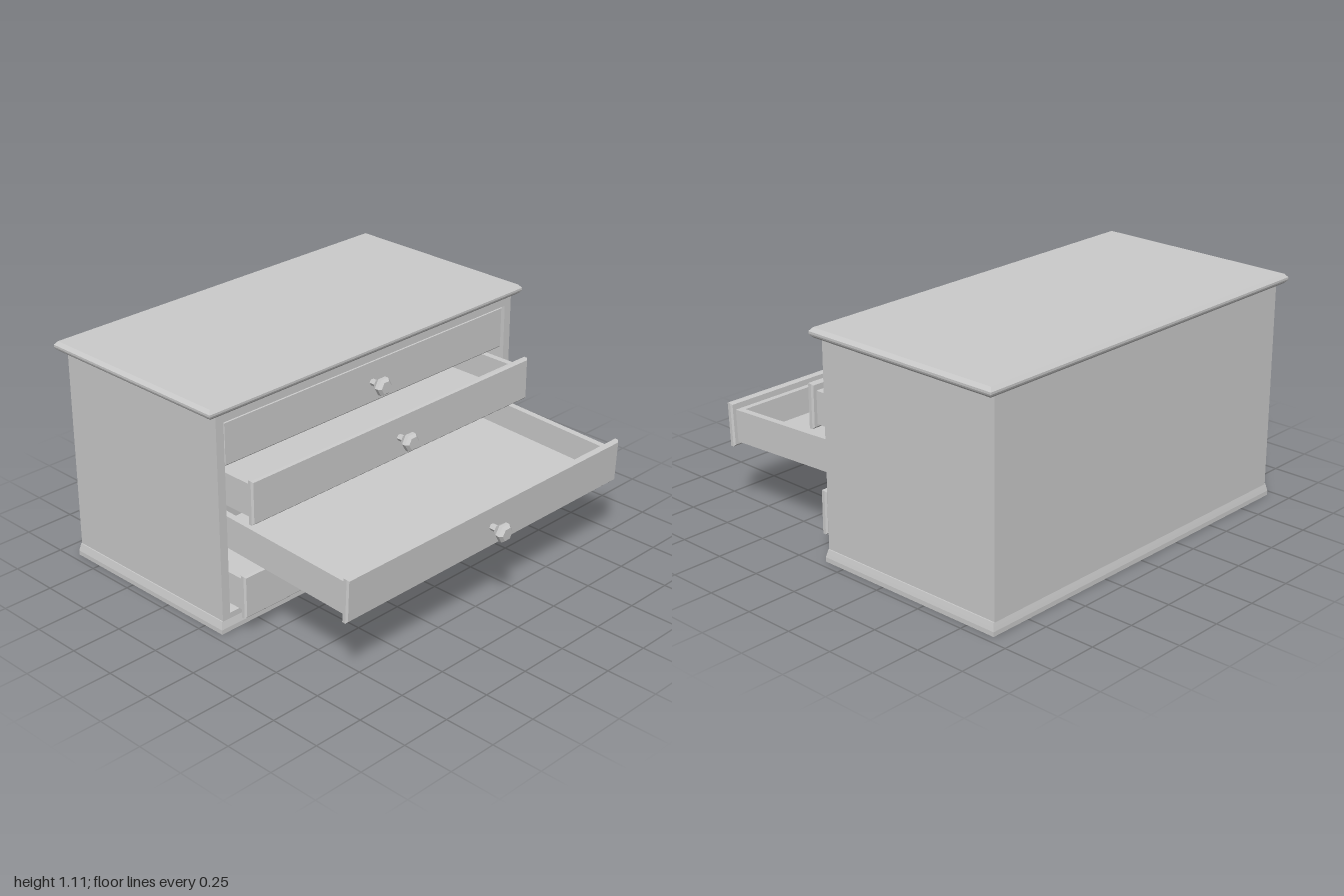
import * as THREE from 'three';

const material = new THREE.MeshStandardMaterial({ color: 0xcccccc, flatShading: true });

function mesh(name, geometry) {
  const m = new THREE.Mesh(geometry, material);
  m.name = name;
  return m;
}

// Box given by its limits on each axis
function block(name, x0, x1, y0, y1, z0, z1) {
  const g = new THREE.BoxGeometry(x1 - x0, y1 - y0, z1 - z0);
  g.translate((x0 + x1) / 2, (y0 + y1) / 2, (z0 + z1) / 2);
  return mesh(name, g);
}

// Closed rectangular stack: each section is [height, inset from full size]
function moulding(width, depth, sections) {
  const pos = [];
  const index = [];
  for (const [y, inset] of sections) {
    const a = width / 2 - inset;
    const b = depth / 2 - inset;
    pos.push(-a, y, b, a, y, b, a, y, -b, -a, y, -b);
  }
  for (let s = 0; s < sections.length - 1; s++) {
    for (let i = 0; i < 4; i++) {
      const p = s * 4 + i;
      const q = s * 4 + (i + 1) % 4;
      index.push(p, q, q + 4, p, q + 4, p + 4);
    }
  }
  const t = (sections.length - 1) * 4;
  index.push(0, 2, 1, 0, 3, 2, t, t + 1, t + 2, t, t + 2, t + 3);
  const g = new THREE.BufferGeometry();
  g.setAttribute('position', new THREE.Float32BufferAttribute(pos, 3));
  g.setIndex(index);
  const flat = g.toNonIndexed();
  flat.computeVertexNormals();
  return flat;
}

// Six-sided knob pointing along +x
function knob() {
  const profile = [
    [0.016, -0.005], [0.016, 0.03], [0.024, 0.034], [0.045, 0.06],
    [0.045, 0.078], [0.032, 0.092], [0, 0.092],
  ].map(([r, y]) => new THREE.Vector2(r, y));
  const g = new THREE.LatheGeometry(profile, 6);
  g.rotateZ(-Math.PI / 2);
  return mesh('knob', g);
}

// Open drawer; its origin is the centre of the outer front face
function drawer(name, x, y, tilt = 0) {
  const g = new THREE.Group();
  g.name = name;
  const front = moulding(0.212, 1.8, [[-0.032, 0.008], [-0.025, 0], [-0.008, 0], [0, 0.008]]);
  front.rotateZ(-Math.PI / 2);
  g.add(mesh('drawerFront', front), knob());

  const back = -0.93, face = -0.03, low = -0.087, high = 0.07, wall = 0.032, half = 0.875;
  g.add(
    block('drawerFloor', back, face, low, low + 0.03, -half, half),
    block('drawerInnerFront', face - wall, face, low, high, -half, half),
    block('drawerBack', back, back + wall, low, high, -half, half),
  );
  for (const s of [-1, 1]) {
    const side = block('drawerSide', back, face, low, high, half - wall, half);
    side.position.z = s < 0 ? wall - 2 * half : 0;
    g.add(side);
  }
  g.position.set(x, y, 0);
  g.rotation.z = tilt;
  return g;
}

export function createModel() {
  const model = new THREE.Group();
  model.name = 'chestOfDrawers';

  // Hollow case, open towards +x
  const left = -0.893, right = 0.105;
  const cabinet = new THREE.Group();
  cabinet.name = 'case';
  cabinet.add(
    block('sidePanel', left, right, 0.05, 1.065, 0.905, 0.948),
    block('sidePanel', left, right, 0.05, 1.065, -0.948, -0.905),
    block('backPanel', left, left + 0.03, 0.05, 1.065, -0.905, 0.905),
    block('bottomPanel', left + 0.03, right, 0.05, 0.085, -0.905, 0.905),
    block('topRail', left + 0.03, right, 1.015, 1.065, -0.905, 0.905),
  );
  model.add(cabinet);

  // Flared plinth and edge-moulded top
  const plinth = mesh('plinth', moulding(1.014, 1.924,
    [[0, 0], [0.022, 0], [0.04, 0.004], [0.06, 0.0085]]));
  plinth.position.x = -0.394;
  const top = mesh('top', moulding(1.052, 2,
    [[1.058, 0.016], [1.07, 0.003], [1.078, 0], [1.088, 0], [1.105, 0.014]]));
  top.position.x = -0.396;
  model.add(plinth, top);

  // Four drawers, pulled out by different amounts
  model.add(
    drawer('topDrawer', 0.095, 0.905),
    drawer('upperDrawer', 0.267, 0.686),
    drawer('lowerDrawer', 0.828, 0.442, -0.043),
    drawer('bottomDrawer', 0.203, 0.196),
  );
  return model;
}
